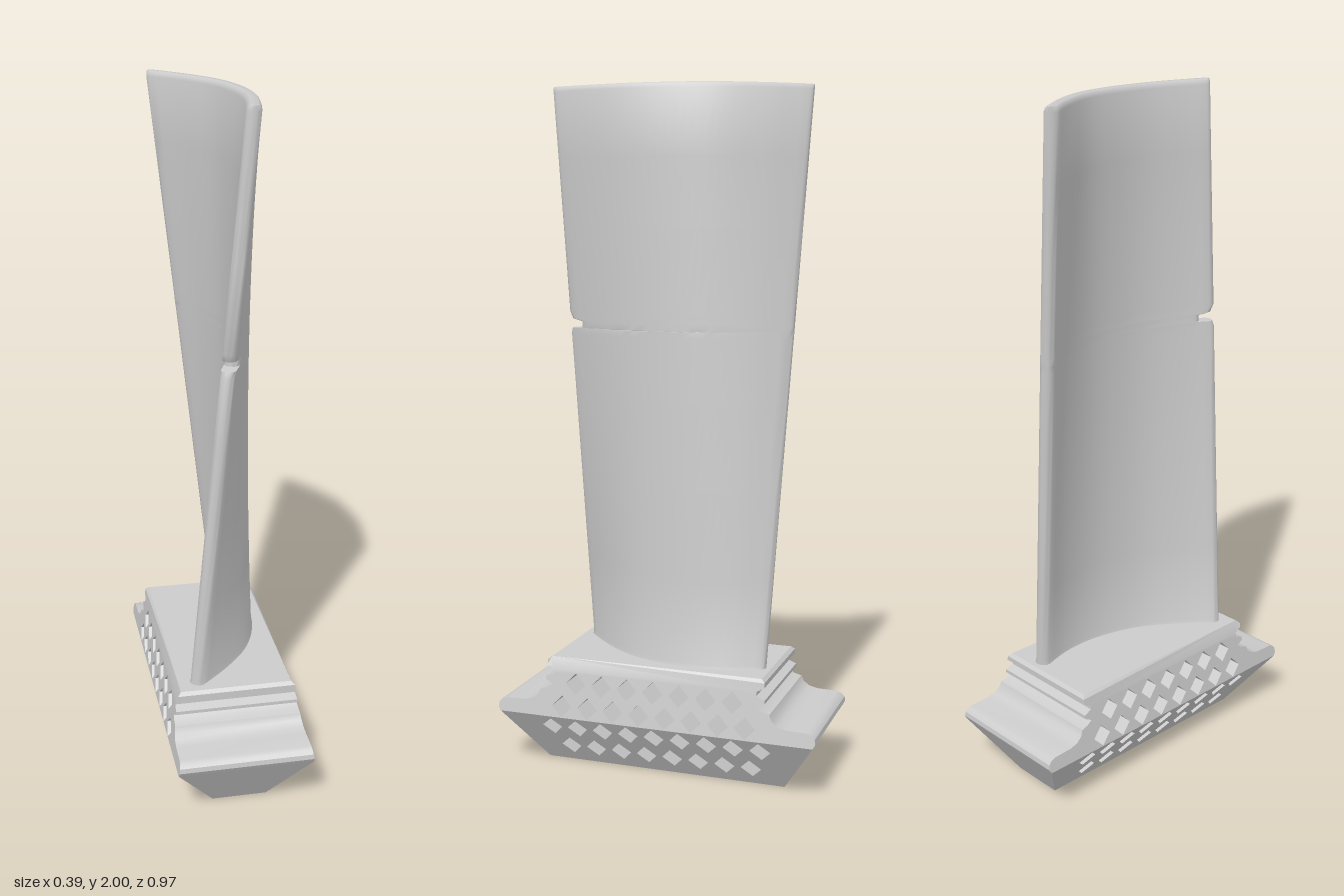
import * as THREE from 'three';
import { toCreasedNormals } from 'three/addons/utils/BufferGeometryUtils.js';

const material = new THREE.MeshStandardMaterial({ color: 0xcccccc });

function addMesh(group, name, geometry, crease) {
  const mesh = new THREE.Mesh(toCreasedNormals(geometry, crease), material);
  mesh.name = name;
  group.add(mesh);
}

// Root block: symmetric end profile with diamond holes, run across x and tapered by height
function rootBlock(profile, rows, halfWidth) {
  const right = profile.map(([z, y]) => new THREE.Vector2(z, y));
  const left = profile.map(([z, y]) => new THREE.Vector2(-z, y)).reverse();
  const shape = new THREE.Shape([...right, ...left]);
  for (const [y, count] of rows) {
    for (let i = 0; i < count; i++) {
      const z = (i - (count - 1) / 2) * 0.08;
      shape.holes.push(new THREE.Path([
        new THREE.Vector2(z - 0.031, y), new THREE.Vector2(z, y + 0.032),
        new THREE.Vector2(z + 0.031, y), new THREE.Vector2(z, y - 0.032),
      ]));
    }
  }
  const geo = new THREE.ExtrudeGeometry(shape, { depth: 1, bevelEnabled: false });
  geo.rotateY(Math.PI / 2);
  const p = geo.attributes.position;
  for (let i = 0; i < p.count; i++) p.setX(i, (p.getX(i) - 0.5) * 2 * halfWidth(p.getY(i)));
  return geo;
}

// Camber lines (x, z), from leading edge (+z) to trailing edge (-z)
const camber = (points) => new THREE.CatmullRomCurve3(points.map(([x, z]) => new THREE.Vector3(x, 0, z)));
const rootLine = camber([[-0.12, 0.29], [-0.03, 0.195], [0.04, 0.1], [0.08, 0], [0.096, -0.1], [0.088, -0.2], [0.055, -0.305]]);
const tipLine = camber([[0.03, 0.352], [0.054, 0.23], [0.066, 0.12], [0.06, 0], [0.03, -0.13], [-0.04, -0.26], [-0.128, -0.378]]);

// Positions along the chord, closer together at the rounded edges
const stations = [0, 0.002, 0.007, 0.015, 0.027];
for (let i = 1; i < 28; i++) stations.push(0.027 + (i / 28) * 0.946);
stations.push(0.973, 0.985, 0.993, 0.998, 1);

// One closed blade section; start trims the leading edge, inset thins the wall
function section(y, start, inset) {
  const t = (y - 0.34) / 1.66;
  const at = (u) => rootLine.getPointAt(u).lerp(tipLine.getPointAt(u), t);
  const outer = [], inner = [];
  for (const v of stations) {
    const u = start + (1 - start) * v;
    const c = at(u);
    const d = at(Math.min(1, u + 0.005)).sub(at(Math.max(0, u - 0.005))).normalize();
    const h = 0.02 + 0.012 * (1 - t) * Math.sin(Math.PI * u) - inset;
    const edge = Math.min(1, Math.min(v, 1 - v) / 0.027);
    const w = h * Math.sqrt(Math.max(0, 1 - (1 - edge) ** 2));
    outer.push([c.x - d.z * w, y, c.z + d.x * w]);
    inner.push([c.x + d.z * w, y, c.z - d.x * w]);
  }
  return [...outer, ...inner.slice(1, -1).reverse()];
}

function bladeGeometry() {
  // Height, leading edge trim and inset; the trimmed rows form the notch
  const rows = [[0.335, 0, -0.006], [0.355, 0, 0], [0.6, 0, 0], [0.85, 0, 0], [1.1, 0, 0],
    [1.29, 0, 0], [1.307, 0.008, 0], [1.309, 0.07, 0], [1.327, 0.07, 0], [1.334, 0.015, 0],
    [1.355, 0, 0], [1.6, 0, 0], [1.8, 0, 0], [1.985, 0, 0], [1.995, 0, 0.004], [2, 0, 0.01]];
  const loops = rows.map((r) => section(...r));
  const n = loops[0].length, m = stations.length - 1, index = [];
  for (let r = 0; r < rows.length - 1; r++) {
    for (let k = 0; k < n; k++) {
      const a = r * n + k, b = r * n + (k + 1) % n;
      index.push(a, b, b + n, a, b + n, a + n);
    }
  }
  // Tip and foot caps, bridged between both faces
  const top = (rows.length - 1) * n;
  for (let k = 0; k < m; k++) {
    const quad = [k, k + 1, (n - k - 1) % n, (n - k) % n];
    const [a, b, c, d] = quad;
    for (const tri of [[a, b, c], [a, c, d]]) {
      if (new Set(tri).size < 3) continue;
      index.push(...tri.map((i) => i + top), ...tri.slice().reverse());
    }
  }
  const geo = new THREE.BufferGeometry();
  geo.setAttribute('position', new THREE.Float32BufferAttribute(loops.flat(2), 3));
  geo.setIndex(index);
  return geo;
}

export function createModel() {
  const group = new THREE.Group();
  group.name = 'turbineBlade';

  // Lower wedge
  addMesh(group, 'rootWedge', rootBlock(
    [[0.37, 0], [0.478, 0.17]],
    [[0.06, 8], [0.133, 9]],
    (y) => 0.08 + (y / 0.17) * 0.117), 0.5);

  // Upper block with rounded lips, ribbed neck and platform
  addMesh(group, 'rootNeck', rootBlock(
    [[0.478, 0.17], [0.485, 0.182], [0.483, 0.196], [0.474, 0.206], [0.46, 0.211], [0.4, 0.213],
      [0.375, 0.219], [0.358, 0.232], [0.35, 0.25], [0.328, 0.256], [0.313, 0.266], [0.335, 0.278],
      [0.335, 0.288], [0.31, 0.298], [0.31, 0.31], [0.332, 0.322], [0.332, 0.336], [0.322, 0.345]],
    [[0.204, 8], [0.272, 7]],
    (y) => (y > 0.34 ? 0.163 : 0.197 - (y - 0.17) * 0.15)), 0.5);

  // Twisted, curved airfoil with a notch in its leading edge
  addMesh(group, 'airfoil', bladeGeometry(), 0.85);
  return group;
}
